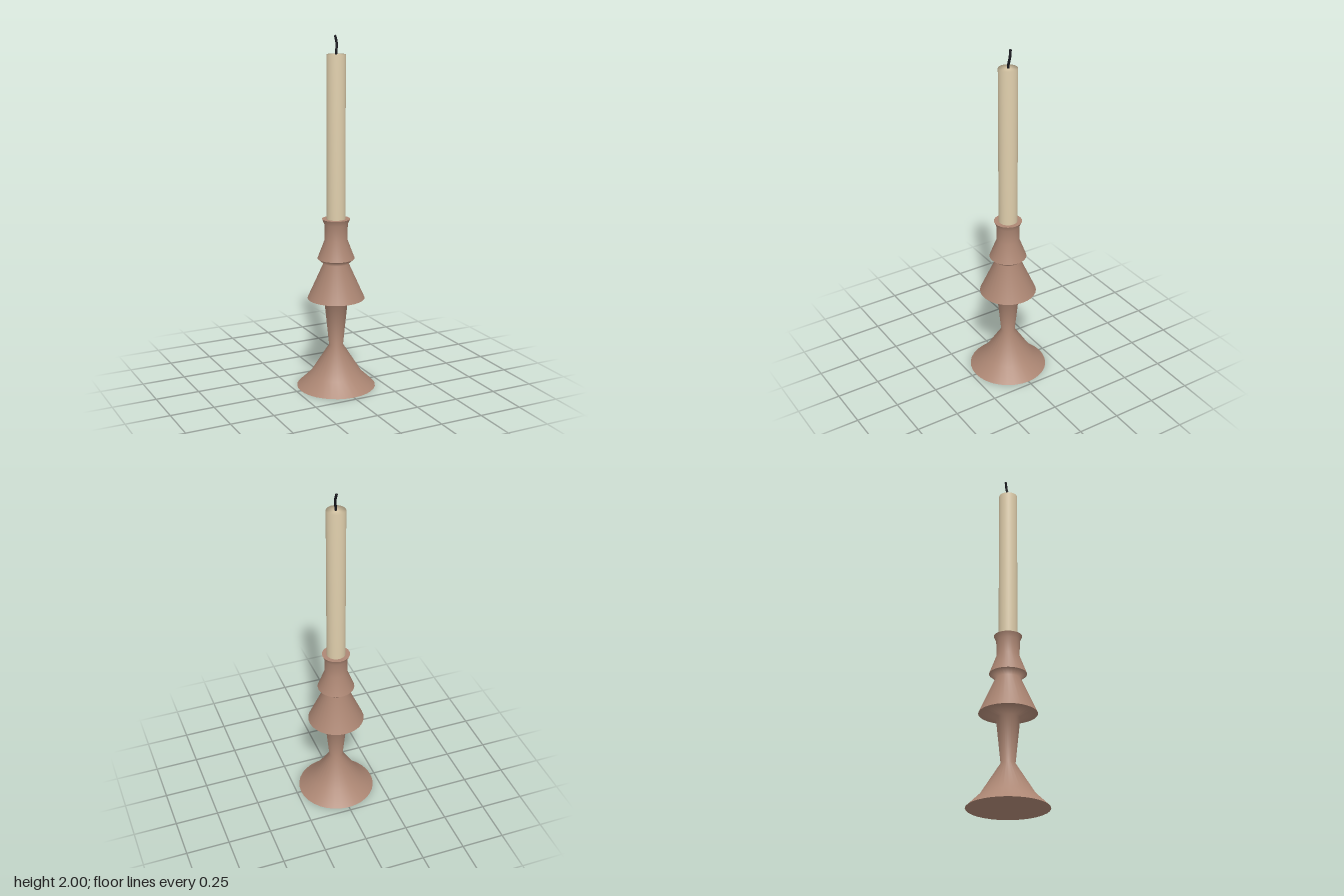
import * as THREE from 'three';

const paint = (name, color) => {
  const m = new THREE.MeshStandardMaterial({ color });
  m.name = name;
  return m;
};

export function createModel() {
  const clay = paint('clay brown', 0xad8774);
  const wax = paint('cream wax', 0xdecdab);
  const char = paint('charred black', 0x16161c);
  const model = new THREE.Group();
  model.name = 'candlestick';

  const add = (parent, name, geometry, material) => {
    const mesh = new THREE.Mesh(geometry, material);
    mesh.name = name;
    parent.add(mesh);
  };
  // Turned part from [radius, height] pairs, listed bottom to top
  const turn = (points) =>
    new THREE.LatheGeometry(points.map(([r, y]) => new THREE.Vector2(r, y)), 32);

  // Holder, split where the edges are sharp
  const holder = new THREE.Group();
  holder.name = 'holder';
  model.add(holder);
  const sections = {
    underside: [[0, 0], [0.225, 0]],
    footAndStem: [[0.225, 0], [0.15, 0.072], [0.04, 0.245], [0.066, 0.5], [0.162, 0.525]],
    skirt: [[0.162, 0.525], [0.071, 0.728], [0.105, 0.757]],
    neck: [[0.105, 0.757], [0.064, 0.865], [0.066, 0.955], [0.079, 0.985]],
    rim: [[0.079, 0.985], [0, 0.985]],
  };
  for (const [name, points] of Object.entries(sections)) add(holder, name, turn(points), clay);

  // Candle with a softly shaded top
  add(model, 'candle', turn([[0.053, 0.94], [0.053, 1.897], [0, 1.897]]), wax);

  // Bent wick with a closed tip
  const path = new THREE.CatmullRomCurve3([
    new THREE.Vector3(0, 1.88, 0),
    new THREE.Vector3(0.002, 1.915, -0.001),
    new THREE.Vector3(0.007, 1.955, -0.007),
    new THREE.Vector3(0.002, 1.995, -0.014),
  ]);
  add(model, 'wick', new THREE.TubeGeometry(path, 12, 0.007, 8), char);
  const tip = new THREE.SphereGeometry(0.007, 8, 6);
  tip.translate(0.002, 1.993, -0.014);
  add(model, 'wickTip', tip, char);

  return model;
}
